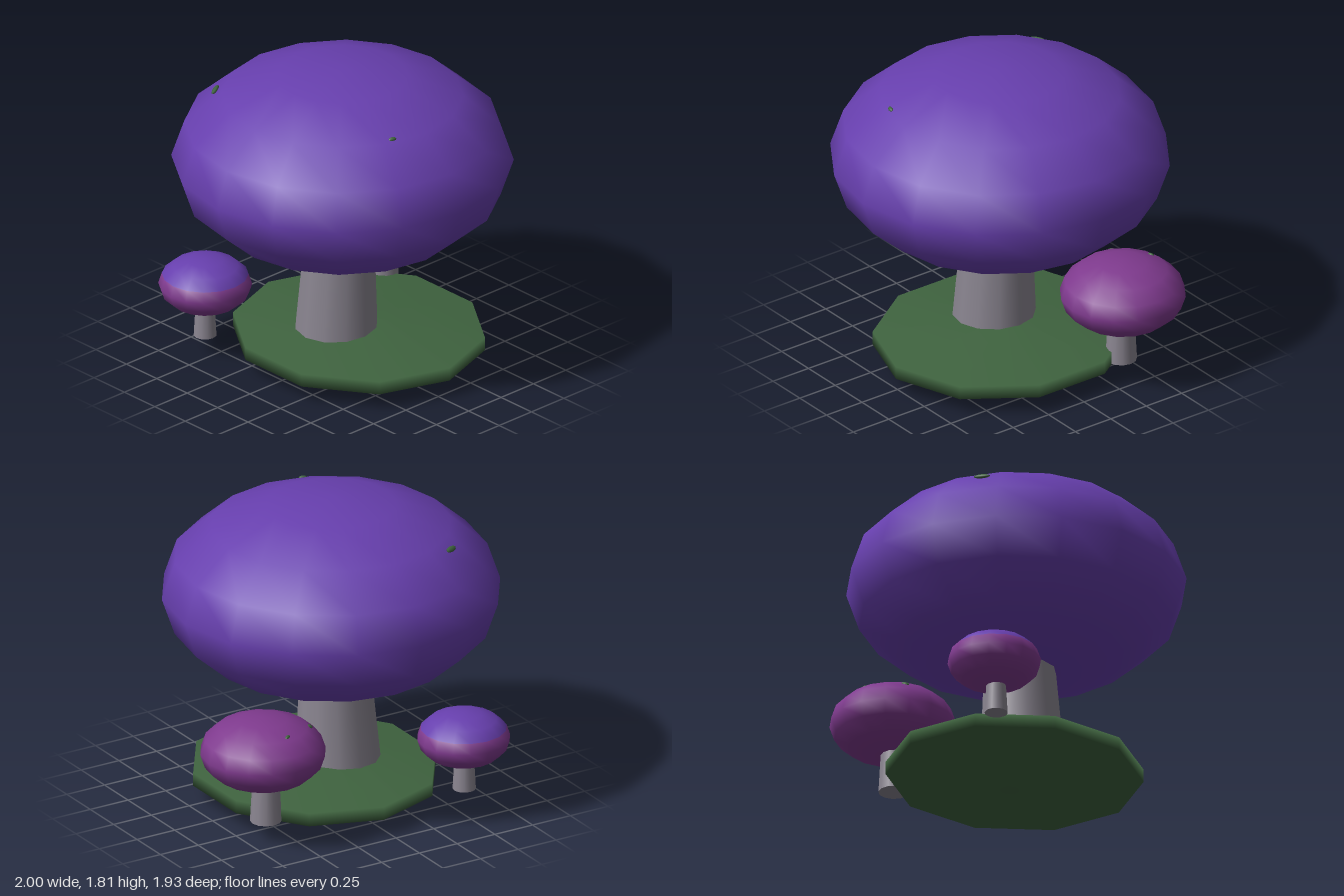
import * as THREE from 'three';

const material = (name, color) => {
  const m = new THREE.MeshStandardMaterial({ color });
  m.name = name;
  return m;
};

export function createModel() {
  const purple = material('purple', 0x673fae);
  const magenta = material('magenta', 0x7f3a8e);
  const green = material('moss green', 0x3f633f);
  const grey = material('stem grey', 0x8a8590);

  const model = new THREE.Group();
  model.name = 'mushroomCluster';

  const add = (parent, name, geometry, mat) => {
    const mesh = new THREE.Mesh(geometry, mat);
    mesh.name = name;
    parent.add(mesh);
    return mesh;
  };

  // Mossy ground: a shallow double cone with a thin rim
  const profile = [[0, 0.005], [1, 0.107], [1, 0.185], [0, 0.247]].map(p => new THREE.Vector2(...p));
  const groundGeo = new THREE.LatheGeometry(profile, 10);
  const pos = groundGeo.attributes.position;
  for (let i = 0; i < pos.count; i++) {
    const x = pos.getX(i), z = pos.getZ(i);
    const tip = Math.hypot(x, z) < 0.01;
    // the tips sit slightly behind the middle of the rim
    pos.setX(i, tip ? 0.03 : 0.045 + x * 0.694);
    pos.setZ(i, tip ? 0 : 0.05 + z * 0.745);
  }
  add(model, 'ground', groundGeo, green);

  // Flattened cap, built in bands of [start ring, ring count, material]
  const addCap = (parent, c, bands) => {
    const step = Math.PI / 8;
    bands.forEach(([start, rings, mat], i) => {
      const geo = new THREE.SphereGeometry(1, 16, rings, 0, Math.PI * 2, start * step, rings * step);
      const cap = add(parent, i ? 'capLower' : 'cap', geo, mat);
      cap.scale.set(c.r, c.h, c.r);
      cap.position.set(...c.at);
    });
  };

  // Tapered stem; lean shifts the foot sideways
  const addStem = (parent, s) => {
    const height = s.top - s.bottom;
    const geo = new THREE.CylinderGeometry(s.rTop, s.rBottom, height, 12);
    const p = geo.attributes.position;
    for (let i = 0; i < p.count; i++) {
      p.setX(i, p.getX(i) + s.lean * (p.getY(i) / height + 0.5));
    }
    add(parent, 'stem', geo, grey).position.set(s.x, (s.top + s.bottom) / 2, s.z);
  };

  // Small moss fleck lying on a cap, placed by its x and z offset
  const addFleck = (parent, c, [dx, dz, length, width, turn]) => {
    const dy = c.h * Math.sqrt(1 - (dx * dx + dz * dz) / (c.r * c.r));
    const normal = new THREE.Vector3(dx / c.r ** 2, dy / c.h ** 2, dz / c.r ** 2).normalize();
    const fleck = add(parent, 'mossFleck', new THREE.SphereGeometry(1, 8, 6), green);
    fleck.scale.set(length, 0.012, width);
    fleck.position.set(c.at[0] + dx, c.at[1] + dy, c.at[2] + dz).addScaledVector(normal, -0.008);
    fleck.quaternion.setFromUnitVectors(new THREE.Vector3(0, 1, 0), normal);
    fleck.rotateY(turn);
  };

  const mushrooms = [
    {
      name: 'largeMushroom',
      cap: { at: [-0.035, 1.25, 0], r: 0.965, h: 0.565 },
      bands: [[0, 8, purple]],
      stem: { x: -0.09, z: 0.003, bottom: 0.12, top: 0.8, rBottom: 0.243, rTop: 0.2, lean: 0.03 },
      flecks: [[-0.435, -0.59, 0.05, 0.018, 0.5], [-0.2, 0.625, 0.025, 0.013, -0.3]],
    },
    {
      name: 'leftMushroom',
      cap: { at: [0.638, 0.54, -0.358], r: 0.358, h: 0.21 },
      bands: [[0, 8, magenta]],
      stem: { x: 0.62, z: -0.36, bottom: 0.112, top: 0.42, rBottom: 0.09, rTop: 0.073, lean: 0 },
      flecks: [[-0.027, -0.221, 0.022, 0.012, 0.5], [-0.25, -0.104, 0.026, 0.018, 0.5]],
    },
    {
      name: 'rightMushroom',
      cap: { at: [-0.56, 0.43, -0.57], r: 0.265, h: 0.16 },
      bands: [[0, 3, purple], [3, 5, magenta]],
      stem: { x: -0.568, z: -0.563, bottom: 0.112, top: 0.34, rBottom: 0.066, rTop: 0.053, lean: 0 },
      flecks: [],
    },
  ];

  for (const m of mushrooms) {
    const group = new THREE.Group();
    group.name = m.name;
    addCap(group, m.cap, m.bands);
    addStem(group, m.stem);
    m.flecks.forEach(f => addFleck(group, m.cap, f));
    model.add(group);
  }

  return model;
}
